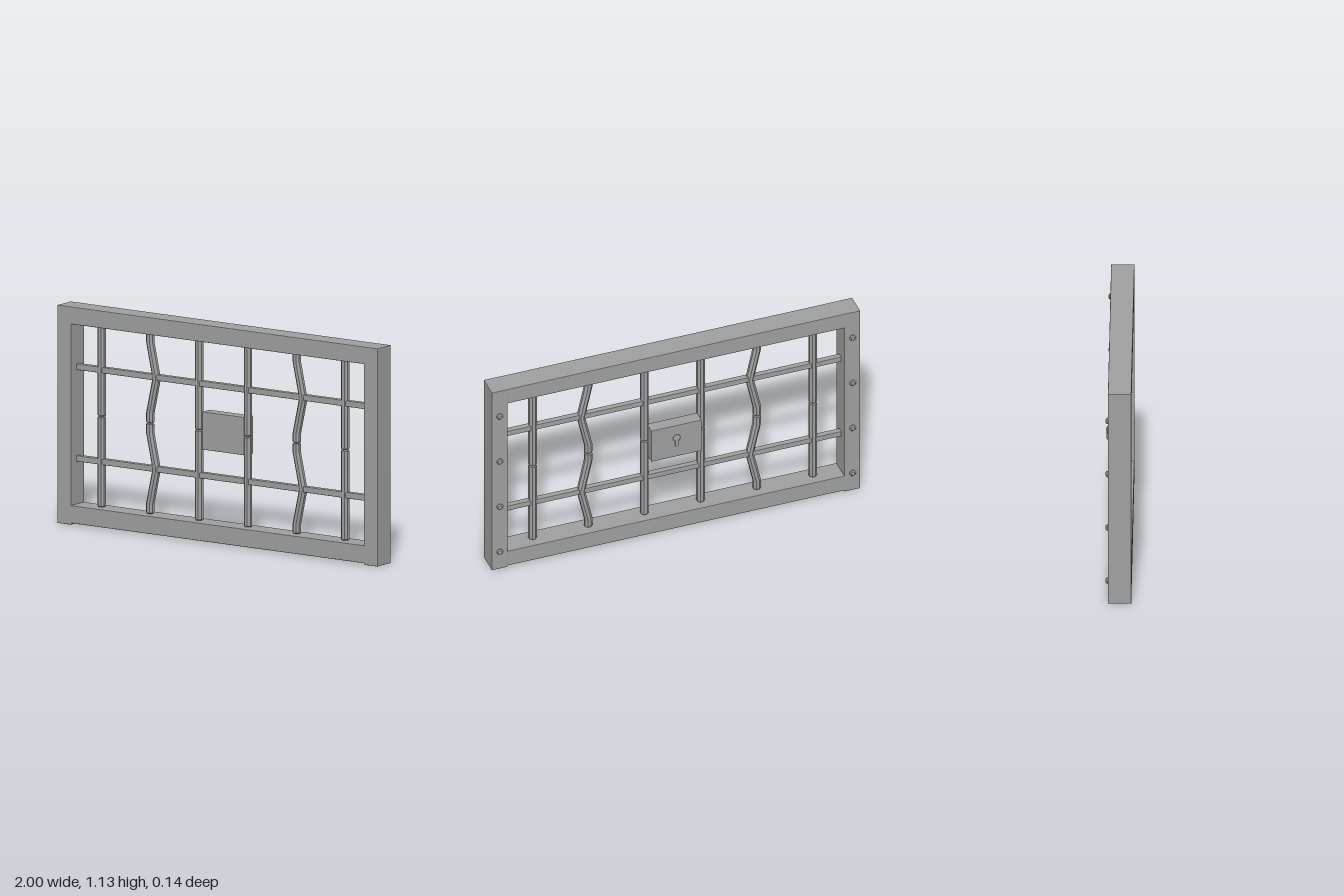
import * as THREE from 'three';
import { RoundedBoxGeometry } from 'three/addons/geometries/RoundedBoxGeometry.js';

const steel = new THREE.MeshStandardMaterial({ color: 0xa0a0a0, flatShading: true });
steel.name = 'grey steel';

export function createModel() {
  const model = new THREE.Group();
  model.name = 'barredGate';

  const add = (name, geometry, x, y, z) => {
    const mesh = new THREE.Mesh(geometry, steel);
    mesh.name = name;
    mesh.position.set(x, y, z);
    model.add(mesh);
    return mesh;
  };
  const block = (w, h, d) => new RoundedBoxGeometry(w, h, d, 1, 0.004);
  const lathe = (points, sides) =>
    new THREE.LatheGeometry(points.map(([r, y]) => new THREE.Vector2(r, y)), sides);

  // Outer frame: two posts and two beams
  for (const side of [-1, 1]) {
    add('framePost', block(0.087, 1.13, 0.12), side * 0.9565, 0.565, 0.01);
  }
  add('frameTopBeam', block(1.84, 0.09, 0.119), 0, 1.085, 0.01);
  add('frameBottomBeam', block(1.84, 0.092, 0.119), 0, 0.054, 0.01);

  // Upright bar half: eight-sided, bevelled ends, optionally kinked sideways
  const half = 0.468;
  const barHalf = (kink) => {
    const profile = [[0, 0], [0.017, 0], [0.022, 0.005], [0.022, 0.05], [0.022, half / 2],
      [0.022, half - 0.05], [0.022, half - 0.005], [0.017, half], [0, half]];
    const geometry = lathe(profile, 8);
    geometry.rotateY(Math.PI / 8);
    const p = geometry.attributes.position;
    for (let i = 0; i < p.count; i++) {
      const fromMiddle = Math.abs(p.getY(i) - half / 2) / (half / 2 - 0.05);
      p.setX(i, p.getX(i) + kink * Math.max(0, 1 - fromMiddle));
    }
    geometry.computeVertexNormals();
    return geometry;
  };
  const straight = barHalf(0);
  const bent = barHalf(0.04);
  const bars = [[-0.763, straight], [-0.46, bent], [-0.155, straight],
    [0.15, straight], [0.455, bent], [0.757, straight]];
  for (const [x, geometry] of bars) {
    add('lowerBar', geometry, x, 0.102, 0.01);
    add('upperBar', geometry, x, 0.102 + half + 0.002, 0.01);
  }

  // Crossbars
  for (const y of [0.337, 0.812]) {
    add('crossbar', block(1.826, 0.031, 0.031), 0, y, 0.01);
  }

  // Lock case with a raised keyhole on the back
  add('lockCase', block(0.274, 0.197, 0.067), 0, 0.567, -0.0225);
  const dome = lathe([[0.02, 0], [0.02, 0.004], [0.014, 0.009], [0, 0.011]], 10);
  dome.rotateX(-Math.PI / 2);
  add('keyholeHead', dome, 0, 0.588, -0.056);
  add('keyholeStem', block(0.017, 0.045, 0.012), 0, 0.559, -0.058);

  // Rivets on the back of the posts
  const rivet = lathe([[0.017, 0], [0.017, 0.005], [0.011, 0.011], [0, 0.013]], 10);
  rivet.rotateX(-Math.PI / 2);
  for (const side of [-1, 1]) {
    for (const y of [0.11, 0.397, 0.684, 0.971]) {
      add('rivet', rivet, side * 0.957, y, -0.05);
    }
  }

  return model;
}
